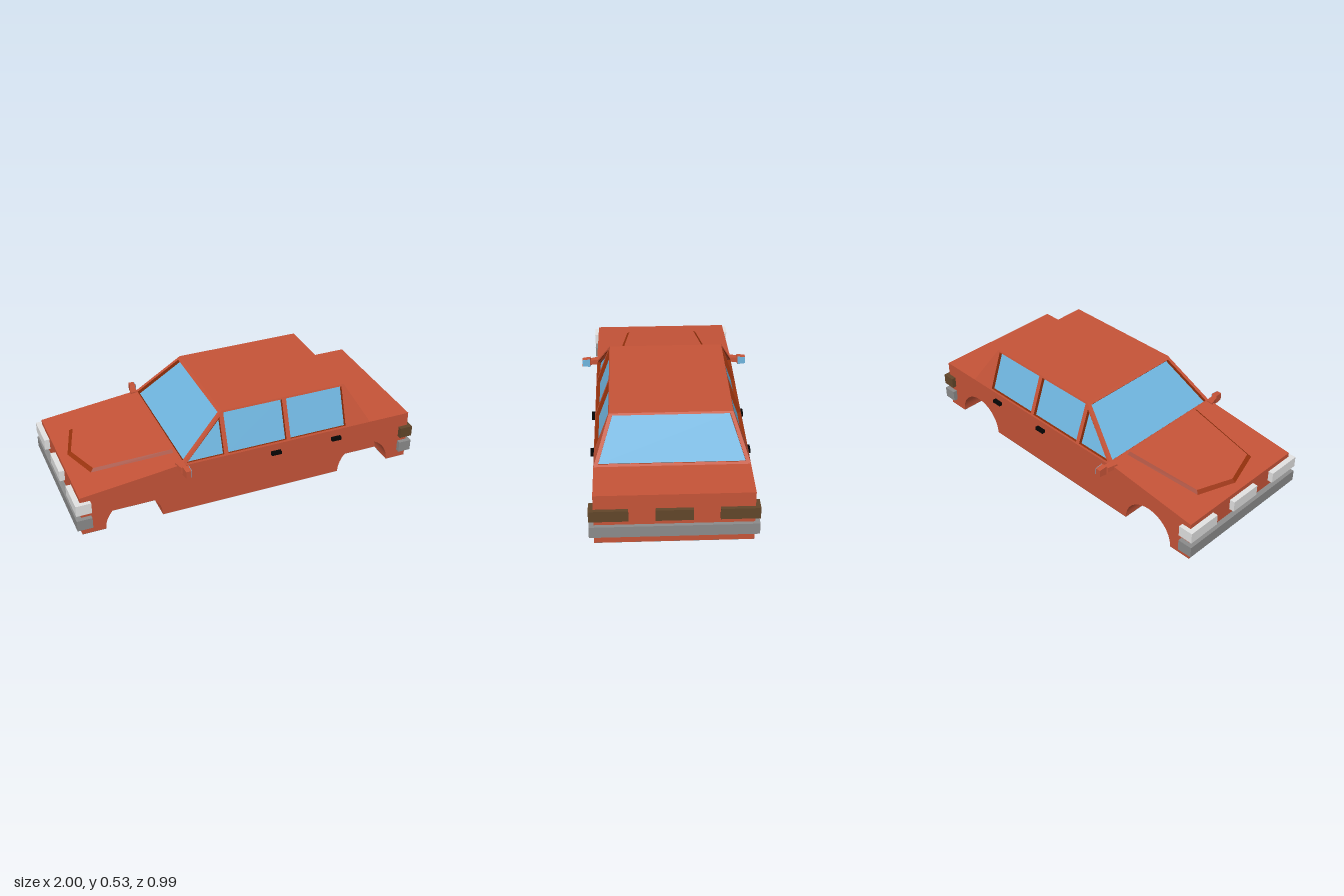
import * as THREE from 'three';

const mat = (name, color) => Object.assign(new THREE.MeshStandardMaterial({ color }), { name });
const V = (x, y, z) => new THREE.Vector3(x, y, z);

export function createModel() {
  const car = new THREE.Group();
  car.name = 'car';
  const paint = mat('body paint', 0xc65438);
  const trim = mat('dark red trim', 0x98320c);
  const glass = mat('glass blue', 0x70b6e0);
  const grey = mat('bumper grey', 0x8b8b8b);
  const lamp = mat('headlight grey', 0xe2e2e2);
  const tail = mat('tail light brown', 0x62462a);
  const black = mat('handle black', 0x040404);
  const under = mat('underside grey', 0x7c7c7c);

  const add = (name, geo, material) => {
    const m = new THREE.Mesh(geo, material);
    m.name = name;
    car.add(m);
    return m;
  };
  const box = (name, material, x0, x1, y0, y1, z0, z1) =>
    add(name, new THREE.BoxGeometry(x1 - x0, y1 - y0, z1 - z0), material)
      .position.set((x0 + x1) / 2, (y0 + y1) / 2, (z0 + z1) / 2);

  // Solid through matching cross-sections; group 0 = sides, group 1 = end caps
  const loft = (name, sections, materials) => {
    const pos = [], n = sections[0].length;
    const tri = (...p) => p.forEach(q => pos.push(q.x, q.y, q.z));
    for (let s = 0; s + 1 < sections.length; s++) {
      const p = sections[s], q = sections[s + 1];
      for (let i = 0; i < n; i++) {
        const j = (i + 1) % n;
        tri(p[i], p[j], q[j]);
        tri(p[i], q[j], q[i]);
      }
    }
    const sideCount = pos.length / 3, first = sections[0], last = sections[sections.length - 1];
    for (let i = 1; i < n - 1; i++) {
      tri(last[0], last[i], last[i + 1]);
      tri(first[0], first[i + 1], first[i]);
    }
    const g = new THREE.BufferGeometry();
    g.setAttribute('position', new THREE.Float32BufferAttribute(pos, 3));
    g.addGroup(0, sideCount, 0);
    g.addGroup(sideCount, pos.length / 3 - sideCount, 1);
    g.computeVertexNormals();
    add(name, g, materials);
  };

  // Flat cabin panel with recessed glazed openings; corners run counter-clockwise from outside
  const panel = (name, depth, corners, holes = []) => {
    const a = corners[0];
    const u = corners[1].clone().sub(a).normalize();
    const n = u.clone().cross(corners[3].clone().sub(a)).normalize();
    const v = n.clone().cross(u);
    const flat = pts => pts.map(p => {
      const d = p.clone().sub(a);
      return new THREE.Vector2(d.dot(u), d.dot(v));
    });
    const place = new THREE.Matrix4().makeBasis(u, v, n).setPosition(a.clone().addScaledVector(n, -depth));
    const shape = new THREE.Shape(flat(corners));
    shape.holes = holes.map(h => new THREE.Path(flat(h)));
    add(name, new THREE.ExtrudeGeometry(shape, { depth, bevelEnabled: false }).applyMatrix4(place), [paint, trim]);
    holes.forEach(h => add(name + ' glass',
      new THREE.ShapeGeometry(new THREE.Shape(flat(h))).applyMatrix4(place), glass));
  };

  // Lower body: solid core plus outer slabs with wheel arches
  const W = 0.405, inner = 0.27, arches = [-0.68, 0.70], R = 0.16, base = 0.001;
  const slab = (name, z0, z1, cut) => {
    const s = new THREE.Shape();
    s.moveTo(-0.97, base);
    if (cut) arches.forEach(x => {
      s.lineTo(x - R, base);
      s.absarc(x, base, R, Math.PI, 0, true);
    });
    [[0.98, base], [0.98, 0.29], [-0.38, 0.29], [-0.4, 0.30], [-0.97, 0.235]].forEach(p => s.lineTo(...p));
    const g = new THREE.ExtrudeGeometry(s, { depth: z1 - z0, bevelEnabled: false, curveSegments: 20 });
    add(name, g.translate(0, 0, z0), paint);
  };
  slab('body core', -inner, inner, false);
  slab('left body side', inner, W, true);
  slab('right body side', -W, -inner, true);

  // Underside plate, notched at the wheels
  box('underside', under, -0.97, 0.98, 0, base, -inner, inner);
  const spans = [-0.97, ...arches.flatMap(x => [x - R, x + R]), 0.98];
  for (const s of [1, -1])
    for (let i = 0; i < spans.length; i += 2)
      box('underside edge', under, spans[i], spans[i + 1], 0, base,
        Math.min(s * inner, s * W), Math.max(s * inner, s * W));

  // Cabin: sloped planes between beltline and roof
  const y0 = 0.29, y1 = 0.525;
  const at = (lo, hi) => y => lo + (hi - lo) * (y - y0) / (y1 - y0);
  const frontX = at(-0.411, -0.145), rearX = at(0.73, 0.59), sideZ = at(W, 0.32);
  const openings = [
    [[-0.375, 0.30], [-0.16, 0.30], [-0.16, 0.495]],
    [[-0.135, 0.30], [0.21, 0.30], [0.21, 0.515], [-0.135, 0.515]],
    [[0.235, 0.30], [0.575, 0.30], [0.575, 0.515], [0.235, 0.515]]
  ];
  for (const s of [1, -1]) {
    const face = pts => {
      const r = pts.map(([x, y]) => V(x, y, s * sideZ(y)));
      return s > 0 ? r : r.reverse();
    };
    panel(s > 0 ? 'left cabin side' : 'right cabin side', 0.02,
      face([[frontX(y0), y0], [rearX(y0), y0], [rearX(y1), y1], [frontX(y1), y1]]), openings.map(face));
  }
  const endFace = (xAt, s, lo, hi, m) => [[lo, s], [lo, -s], [hi, -s], [hi, s]]
    .map(([y, k]) => V(xAt(y), y, k * (sideZ(y) - m)));
  panel('windshield frame', 0.02, endFace(frontX, -1, y0, y1, 0), [endFace(frontX, -1, 0.307, 0.512, 0.02)]);
  panel('rear window frame', 0.025, endFace(rearX, 1, y0, y1, 0), [endFace(rearX, 1, 0.302, 0.515, 0.02)]);
  panel('roof', 0.003, [[-0.145, 1], [0.59, 1], [0.59, -1], [-0.145, -1]].map(([x, k]) => V(x, y1, k * 0.32)));

  // Raised hood panel with a dark sloped rim
  const outline = [[-0.41, 0.286], [-0.41, -0.286], [-0.857, -0.222], [-0.927, 0], [-0.857, 0.222]];
  const hoodY = x => 0.30 + (x + 0.4) * 0.114;
  loft('hood panel', [
    outline.map(([x, z]) => V(x, hoodY(x) - 0.002, z)),
    outline.map(([x, z]) => {
      const xi = -0.41 + (x + 0.41) * 0.955;
      return V(xi, hoodY(xi) + 0.013, z * 0.93);
    })
  ], [trim, paint]);

  // Bumpers and lamp rows
  box('front bumper', grey, -1, -0.915, 0.048, 0.112, -0.43, 0.43);
  box('rear bumper', grey, 0.925, 1, 0.048, 0.112, -0.43, 0.43);
  for (const [z0, z1] of [[-0.43, -0.23], [-0.095, 0.095], [0.23, 0.43]]) {
    box('headlight', lamp, -1, -0.915, 0.145, 0.208, z0, z1);
    box('tail light', tail, 0.925, 1, 0.145, 0.208, z0, z1);
  }

  // Door handles and mirrors on both sides
  const rect = (x0, x1, yl, yh, z) => [V(x0, yl, z), V(x1, yl, z), V(x1, yh, z), V(x0, yh, z)];
  for (const s of [1, -1]) {
    for (const x of [0.115, 0.485])
      box('door handle', black, x, x + 0.057, 0.229, 0.248, s > 0 ? 0.4 : -0.425, s > 0 ? 0.425 : -0.4);
    const sections = rows => {
      const r = rows.map(([z, ...q]) => rect(...q, s * z));
      return s > 0 ? r : r.reverse();
    };
    loft('mirror housing', sections([
      [0.385, -0.435, -0.392, 0.276, 0.306],
      [0.441, -0.42, -0.388, 0.274, 0.304],
      [0.446, -0.416, -0.383, 0.263, 0.315],
      [0.493, -0.412, -0.383, 0.268, 0.31]
    ]), [paint, paint]);
    loft('mirror glass', sections([
      [0.447, -0.386, -0.38, 0.264, 0.314],
      [0.492, -0.386, -0.38, 0.269, 0.309]
    ]), [glass, glass]);
  }
  return car;
}
